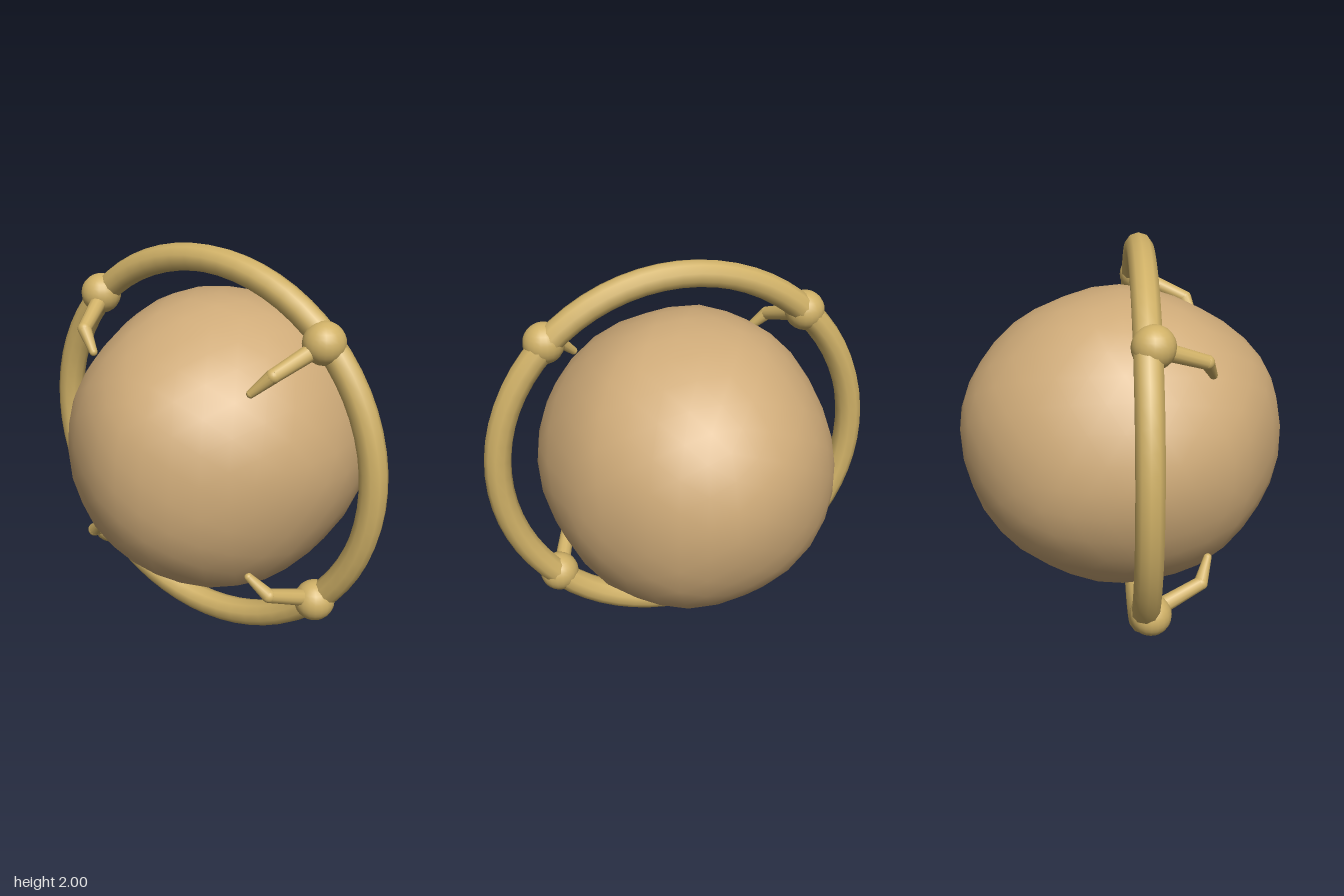
import * as THREE from 'three';
import { mergeVertices } from 'three/addons/utils/BufferGeometryUtils.js';

const rockTan = new THREE.MeshStandardMaterial({ color: 0xcfab79 });
rockTan.name = 'rockTan';
const brassGold = new THREE.MeshStandardMaterial({ color: 0xd0b167 });
brassGold.name = 'brassGold';

function part(name, geometry, material, parent) {
  const mesh = new THREE.Mesh(geometry, material);
  mesh.name = name;
  parent.add(mesh);
  return mesh;
}

// Slightly lumpy ellipsoid with smooth normals
function rockGeometry() {
  let g = new THREE.IcosahedronGeometry(1, 5);
  g.deleteAttribute('uv');
  g.deleteAttribute('normal');
  g = mergeVertices(g, 1e-4);
  const p = g.attributes.position;
  const v = new THREE.Vector3();
  for (let i = 0; i < p.count; i++) {
    v.fromBufferAttribute(p, i);
    const lump = 0.008 * Math.sin(5 * v.x + 3 * v.y + 1) + 0.007 * Math.sin(6 * v.y - 4 * v.z + 2)
      + 0.006 * Math.sin(9 * v.z + 7 * v.x);
    v.multiplyScalar(1 + lump);
    p.setXYZ(i, v.x * 0.735, v.y * 0.745, v.z * 0.8);
  }
  g.computeVertexNormals();
  return g;
}

// Tapered rod between two points
function rod(name, a, b, ra, rb, parent) {
  const dir = b.clone().sub(a);
  const mesh = part(name, new THREE.CylinderGeometry(rb, ra, dir.length(), 12), brassGold, parent);
  mesh.position.copy(a).addScaledVector(dir, 0.5);
  mesh.quaternion.setFromUnitVectors(new THREE.Vector3(0, 1, 0), dir.normalize());
}

function ball(name, at, r, parent) {
  part(name, new THREE.SphereGeometry(r, 20, 14), brassGold, parent).position.copy(at);
}

export function createModel() {
  const model = new THREE.Group();
  model.name = 'clawMountedRock';

  part('rock', rockGeometry(), rockTan, model).position.y = 1;
  part('ring', new THREE.TorusGeometry(0.933, 0.067, 10, 64), brassGold, model).position.set(0, 1, 0.095);

  // Four bent claws on the diagonals of the ring
  for (const sx of [-1, 1]) for (const sy of [-1, 1]) {
    const claw = new THREE.Group();
    claw.name = (sy > 0 ? 'upper' : 'lower') + (sx > 0 ? 'Left' : 'Right') + 'Claw';
    const at = (d, z) => new THREE.Vector3(sx * d, 1 + sy * d, z);
    const elbow = at(0.555, 0.365), tip = at(0.465, 0.405);
    ball('knuckle', at(0.66, 0.12), 0.1, claw);
    rod('clawBase', at(0.64, 0.15), elbow, 0.042, 0.034, claw);
    ball('clawElbow', elbow, 0.034, claw);
    rod('clawTip', elbow, tip, 0.034, 0.02, claw);
    ball('clawEnd', tip, 0.02, claw);
    model.add(claw);
  }
  return model;
}
